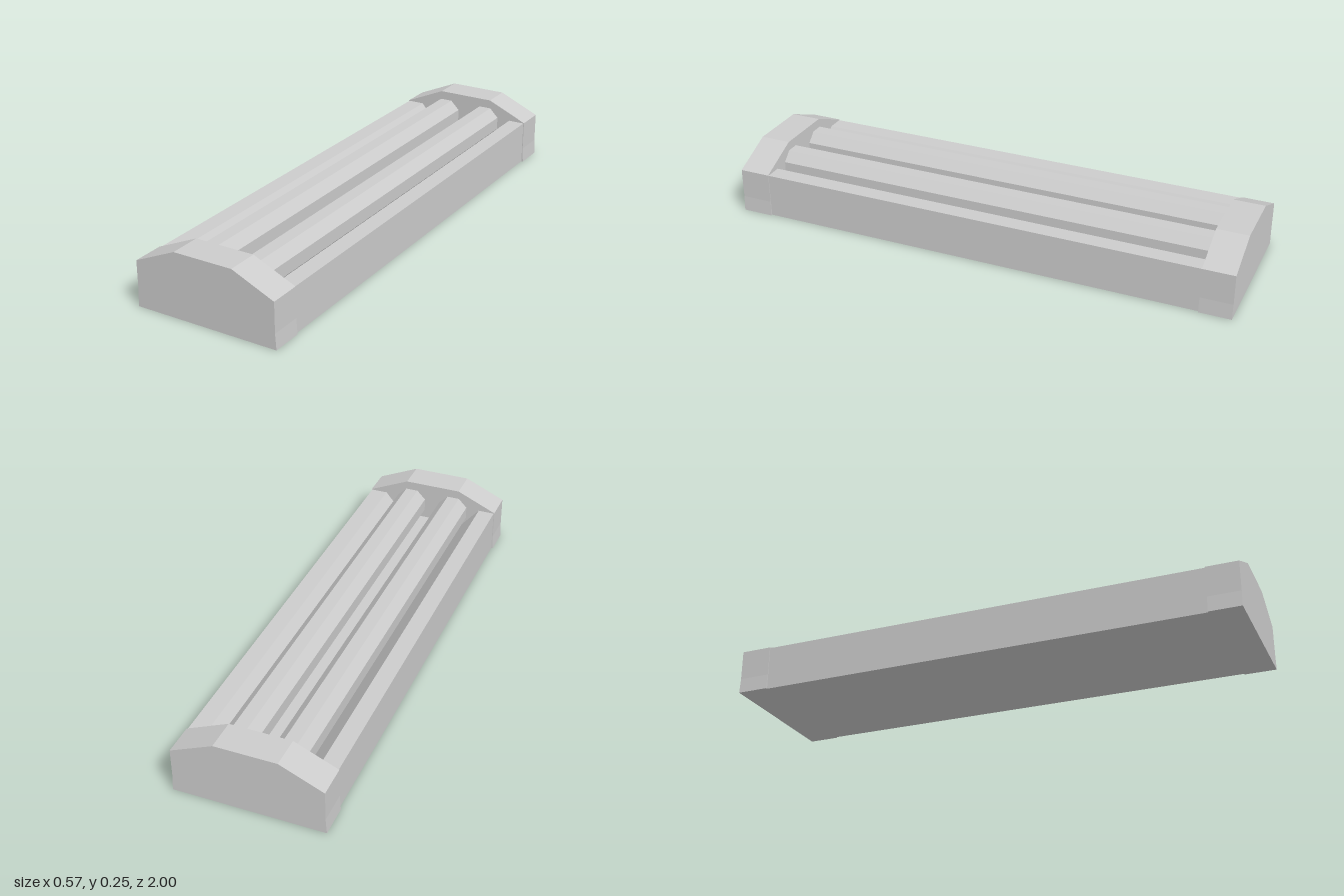
import * as THREE from 'three';

// Extrude a symmetric outline, given as its right half from bottom to top, centred on z
function prism(half, length, material, name) {
  const mirrored = half.map(([x, y]) => [-x, y]).reverse();
  const shape = new THREE.Shape([...half, ...mirrored].map(([x, y]) => new THREE.Vector2(x, y)));
  const geometry = new THREE.ExtrudeGeometry(shape, { depth: length, bevelEnabled: false });
  geometry.translate(0, 0, -length / 2);
  const mesh = new THREE.Mesh(geometry, material);
  mesh.name = name;
  return mesh;
}

export function createModel() {
  const model = new THREE.Group();
  model.name = 'tubeLight';
  const grey = new THREE.MeshStandardMaterial({ color: 0xcccccc });
  grey.name = 'lightGrey';
  grey.flatShading = true;

  // Long housing with an open trough and sloped reflector walls
  model.add(prism(
    [[0.28, 0], [0.28, 0.175], [0.213, 0.175], [0.14, 0.09]],
    1.8, grey, 'housing'));

  // End caps, slightly flared at the foot
  for (const [side, name] of [[1, 'frontCap'], [-1, 'backCap']]) {
    const cap = prism(
      [[0.287, 0], [0.283, 0.06], [0.283, 0.177], [0.118, 0.25]],
      0.122, grey, name);
    cap.position.z = side * 0.939;
    model.add(cap);
  }

  // Two eight-sided lamp tubes lying along the trough
  const tubeGeometry = new THREE.CylinderGeometry(0.067, 0.067, 1.8, 8);
  tubeGeometry.rotateY(Math.PI / 8).rotateX(Math.PI / 2);
  for (const [side, name] of [[1, 'leftTube'], [-1, 'rightTube']]) {
    const tube = new THREE.Mesh(tubeGeometry, grey);
    tube.name = name;
    tube.position.set(side * 0.095, 0.152, 0);
    model.add(tube);
  }
  return model;
}
